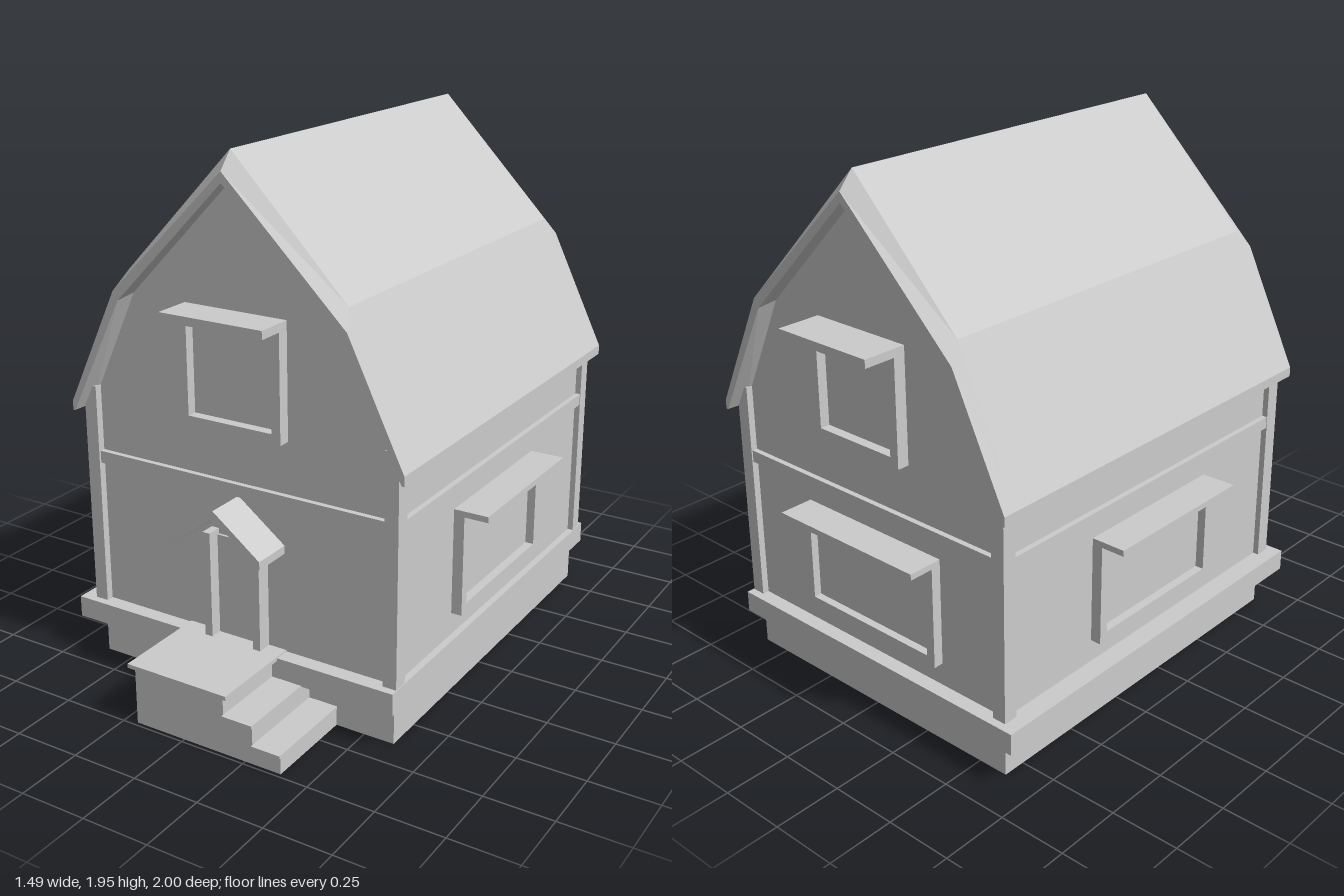
import * as THREE from 'three';

const grey = new THREE.MeshStandardMaterial({ color: 0xcccccc, flatShading: true });
const greyDouble = new THREE.MeshStandardMaterial({ color: 0xcccccc, flatShading: true, side: THREE.DoubleSide });

const WALL_X = 0.615, FRONT = 0.64, BACK = -0.835, MID = (FRONT + BACK) / 2;

function mesh(parent, name, geometry, material = grey) {
  const m = new THREE.Mesh(geometry, material);
  m.name = name;
  parent.add(m);
  return m;
}

// Box given by its two extreme corners
function box(parent, name, x0, x1, y0, y1, z0, z1) {
  const m = mesh(parent, name, new THREE.BoxGeometry(x1 - x0, y1 - y0, z1 - z0));
  m.position.set((x0 + x1) / 2, (y0 + y1) / 2, (z0 + z1) / 2);
  return m;
}

function polygon(points) {
  return new THREE.Shape(points.map(([x, y]) => new THREE.Vector2(x, y)));
}

function extrude(shape, z0, z1) {
  return new THREE.ExtrudeGeometry(shape, { depth: z1 - z0, bevelEnabled: false }).translate(0, 0, z0);
}

// Rectangular ring lying in XY, centred on the origin
function ring(w, h, border, depth) {
  const rect = (a, b) => [[-a, -b], [a, -b], [a, b], [-a, b]];
  const shape = polygon(rect(w / 2, h / 2));
  shape.holes.push(polygon(rect(w / 2 - border, h / 2 - border).reverse()));
  return extrude(shape, 0, depth);
}

// Window facing +z: frame, pane and flat awning
function addWindow(parent, name, w, h, depth, awningDepth, awningThick) {
  const g = new THREE.Group();
  g.name = name;
  mesh(g, 'windowFrame', ring(w, h, 0.035, depth));
  box(g, 'windowPane', -w / 2 + 0.02, w / 2 - 0.02, -h / 2 + 0.02, h / 2 - 0.02, -0.01, 0.008);
  box(g, 'windowAwning', -w / 2, w / 2, h / 2, h / 2 + awningThick, 0, awningDepth);
  parent.add(g);
  return g;
}

// Half profile mirrored into a closed ring: outer line left to right, inner line back
function roofRing(outer, inner, z) {
  const flip = ([x, y]) => [-x, y];
  const half = outer.slice(0, -1);
  const pts = [
    ...half.map(flip), outer.at(-1), ...half.toReversed(),
    ...inner, ...inner.slice(0, -1).toReversed().map(flip),
  ];
  return pts.map(([x, y]) => new THREE.Vector3(x, y, z));
}

// Gambrel roof with bevelled gable edges, lofted through four sections
function roofGeometry() {
  const endOuter = [[0.67, 0.965], [0.67, 1.0], [0.462, 1.43], [0, 1.882]];
  const endInner = [[0.66, 0.967], [0.442, 1.4], [0, 1.845]];
  const midOuter = [[0.67, 0.965], [0.67, 1.0], [0.435, 1.495], [0, 1.945]];
  const midInner = [[0.62, 0.985], [0.415, 1.42], [0, 1.845]];
  const sections = [
    roofRing(endOuter, endInner, 0.695),
    roofRing(midOuter, midInner, FRONT),
    roofRing(midOuter, midInner, BACK),
    roofRing(endOuter, endInner, -0.89),
  ];
  const v = [];
  const n = sections[0].length;
  for (let s = 0; s < 3; s++) {
    for (let i = 0; i < n; i++) {
      const j = (i + 1) % n;
      const [a, b, c, d] = [sections[s][i], sections[s][j], sections[s + 1][j], sections[s + 1][i]];
      v.push(a, b, c, a, c, d);
    }
  }
  // Gable end caps
  for (const end of [sections[0], sections[3]]) {
    const flat = end.map(p => new THREE.Vector2(p.x, p.y));
    for (const f of THREE.ShapeUtils.triangulateShape(flat, [])) v.push(...f.map(k => end[k]));
  }
  const g = new THREE.BufferGeometry().setFromPoints(v);
  g.computeVertexNormals();
  return g;
}

export function createModel() {
  const house = new THREE.Group();
  house.name = 'house';

  // Hollow foundation skirt and projecting plinth
  const skirt = mesh(house, 'foundation', ring(WALL_X * 2, FRONT - BACK, 0.006, 0.15));
  skirt.rotation.x = -Math.PI / 2;
  skirt.position.z = MID;
  box(house, 'plinth', -0.69, 0.64, 0.145, 0.225, -0.89, 0.697);

  // Walls with gables
  mesh(house, 'walls', extrude(polygon([
    [-WALL_X, 0.2], [WALL_X, 0.2], [WALL_X, 1.01], [0.425, 1.43],
    [0, 1.87], [-0.425, 1.43], [-WALL_X, 1.01],
  ]), BACK, FRONT));

  // Corner posts and belt beams
  for (const s of [-1, 1]) {
    const side = s > 0 ? 'left' : 'right';
    for (const [end, z0, z1] of [['Front', 0.61, 0.668], ['Back', -0.86, -0.805]]) {
      mesh(house, side + end + 'Post', new THREE.BoxGeometry(0.052, 0.84, z1 - z0))
        .position.set(s * 0.611, 0.64, (z0 + z1) / 2);
    }
    mesh(house, side + 'Beam', new THREE.BoxGeometry(0.04, 0.045, 1.42))
      .position.set(s * 0.615, 0.792, MID);
  }
  box(house, 'frontBeam', -0.585, 0.585, 0.77, 0.815, 0.62, 0.66);
  box(house, 'backBeam', -0.585, 0.585, 0.77, 0.815, -0.855, -0.82);

  // Main roof
  mesh(house, 'roof', roofGeometry(), greyDouble);

  // Upper gable windows
  addWindow(house, 'frontUpperWindow', 0.405, 0.385, 0.045, 0.14, 0.03).position.set(0.002, 1.195, FRONT);
  const backUpper = addWindow(house, 'backUpperWindow', 0.405, 0.385, 0.045, 0.165, 0.03);
  backUpper.position.set(0, 1.195, BACK);
  backUpper.rotation.y = Math.PI;

  // Wide ground floor windows
  const backLower = addWindow(house, 'backLowerWindow', 0.635, 0.375, 0.037, 0.13, 0.022);
  backLower.position.set(-0.015, 0.497, BACK);
  backLower.rotation.y = Math.PI;
  for (const s of [-1, 1]) {
    const w = addWindow(house, s > 0 ? 'leftWindow' : 'rightWindow', 0.635, 0.375, 0.04, 0.13, 0.022);
    w.position.set(s * WALL_X, 0.497, -0.08);
    w.rotation.y = s * Math.PI / 2;
  }

  // Door with jambs, lintel and small pitched canopy
  box(house, 'door', -0.09, 0.09, 0.225, 0.605, 0.62, 0.65);
  for (const s of [-1, 1]) {
    mesh(house, s > 0 ? 'leftDoorJamb' : 'rightDoorJamb', new THREE.BoxGeometry(0.03, 0.4, 0.065))
      .position.set(s * 0.101, 0.425, 0.663);
  }
  mesh(house, 'doorCanopy', extrude(polygon([
    [-0.185, 0.595], [0, 0.735], [0.185, 0.595], [0.185, 0.625], [0, 0.765], [-0.185, 0.625],
  ]), 0.63, 0.79));

  // Porch landing and steps going down to the left
  const treads = [[-0.2, 0.165, 0.217], [0.165, 0.28, 0.145], [0.28, 0.39, 0.07]];
  treads.forEach(([x0, x1, y], i) => {
    box(house, i ? 'step' + i : 'porchBase', x0, x1, 0, y, 0.63, 0.985);
  });
  box(house, 'porchLanding', -0.22, 0.187, 0.215, 0.23, 0.63, 1.0);
  box(house, 'stepTread1', 0.165, 0.284, 0.138, 0.148, 0.63, 0.995);
  box(house, 'stepTread2', 0.28, 0.393, 0.063, 0.073, 0.63, 0.995);

  return house;
}
